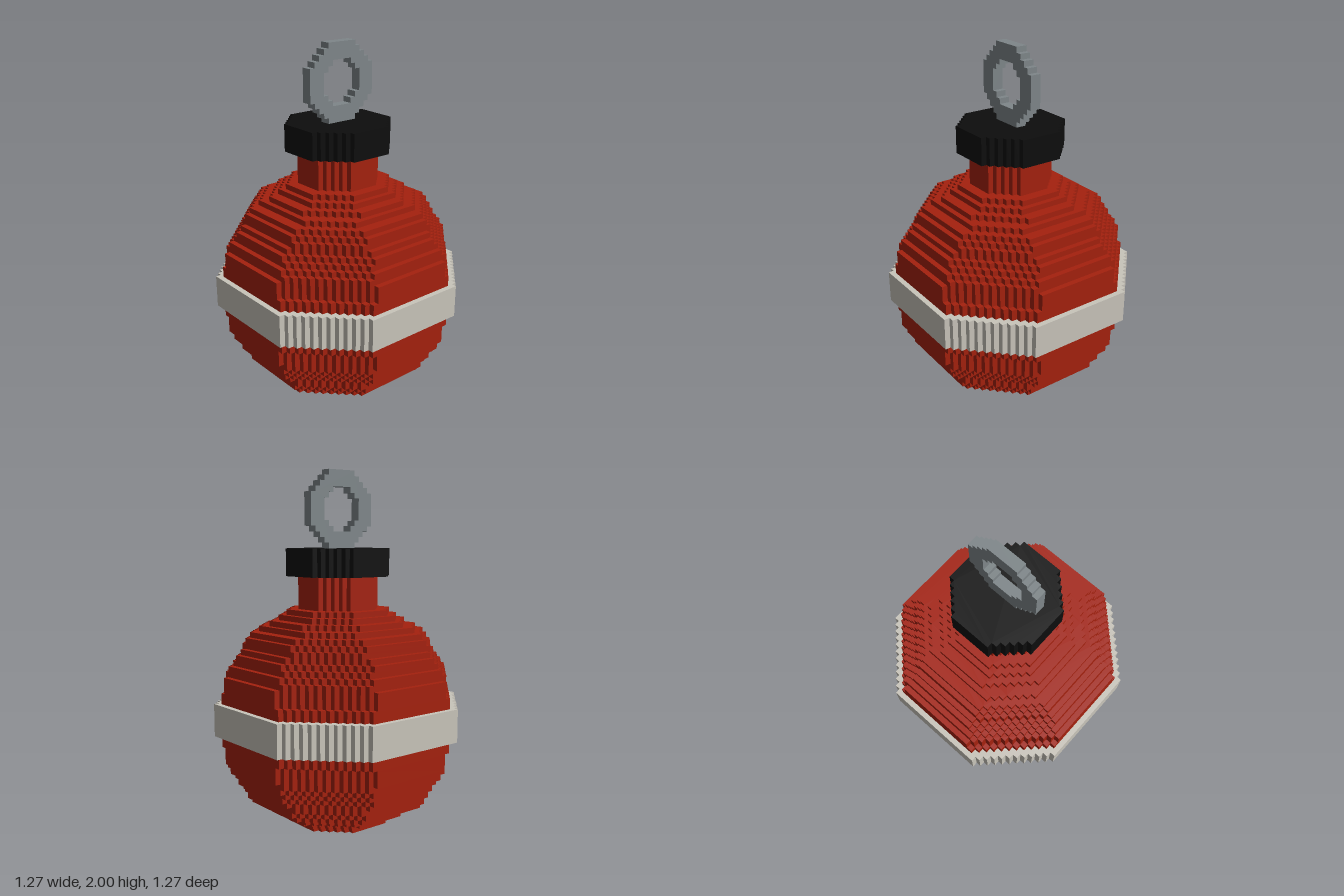
import * as THREE from 'three';
import { mergeGeometries } from 'three/addons/utils/BufferGeometryUtils.js';

const U = 2 / 66; // size of one block

const material = (name, color) => {
  const m = new THREE.MeshStandardMaterial({ color });
  m.name = name;
  return m;
};

// Stepped octagon: half = half width, flat = half length of its straight sides (in blocks)
function steppedOctagon(half, flat) {
  const quarter = [[half, flat]];
  for (let k = 0; k < half - flat; k++) {
    quarter.push([half - k - 1, flat + k], [half - k - 1, flat + k + 1]);
  }
  const points = [];
  for (let q = 0; q < 4; q++) {
    for (const [x, y] of quarter) {
      const [px, py] = [[x, y], [-y, x], [-x, -y], [y, -x]][q];
      points.push(new THREE.Vector2(px * U, py * U));
    }
  }
  return points;
}

// Horizontal slab of blocks from layer y0 to layer y1
function slab(half, flat, y0, y1) {
  const shape = new THREE.Shape(steppedOctagon(half, flat));
  const geometry = new THREE.ExtrudeGeometry(shape, { depth: (y1 - y0) * U, bevelEnabled: false });
  return geometry.rotateX(-Math.PI / 2).translate(0, y0 * U, 0);
}

// Globe radius by distance from its middle layer
const PROFILE = [[0, 20.2], [7.9, 19.6], [15.3, 15.3], [20, 8], [20.8, 0]];
function globeRadius(d) {
  const i = PROFILE.findIndex(p => p[0] >= d);
  const [d0, r0] = PROFILE[i - 1], [d1, r1] = PROFILE[i];
  return r0 + (r1 - r0) * (d - d0) / (d1 - d0);
}

function globeGeometry() {
  const slabs = [];
  const size = y => {
    const r = globeRadius(Math.abs(y + 0.5 - 21));
    const half = Math.floor(r + 0.5);
    return [half, Math.min(half, Math.floor(r * Math.SQRT2) + 1 - half)];
  };
  // equal neighbouring layers share one slab
  for (let y = 0, start = 0; y < 42; y++) {
    const [half, flat] = size(y);
    const next = y < 41 ? size(y + 1) : [0, 0];
    if (next[0] !== half || next[1] !== flat) {
      slabs.push(slab(half, flat, start, y + 1));
      start = y + 1;
    }
  }
  return mergeGeometries(slabs);
}

// Upright hanging ring with a stepped hole
function ringGeometry() {
  const shape = new THREE.Shape(steppedOctagon(7, 3));
  shape.holes.push(new THREE.Path(steppedOctagon(4, 2).reverse()));
  return new THREE.ExtrudeGeometry(shape, { depth: 2 * U, bevelEnabled: false })
    .translate(0, 59 * U, -U);
}

export function createModel() {
  const red = material('red', 0xa5210e);
  const cream = material('cream', 0xc9c5bb);
  const black = material('black', 0x0d0d0d);
  const grey = material('grey', 0x7f878a);

  const group = new THREE.Group();
  group.name = 'roundBauble';
  const add = (name, geometry, mat) => {
    const mesh = new THREE.Mesh(geometry, mat);
    mesh.name = name;
    group.add(mesh);
  };
  add('globe', globeGeometry(), red);
  add('neck', slab(7, 3, 40, 47), red);
  add('band', slab(21, 10, 18, 24), cream);
  add('cap', slab(9, 4, 47, 52), black);
  add('hangingRing', ringGeometry(), grey);
  return group;
}
